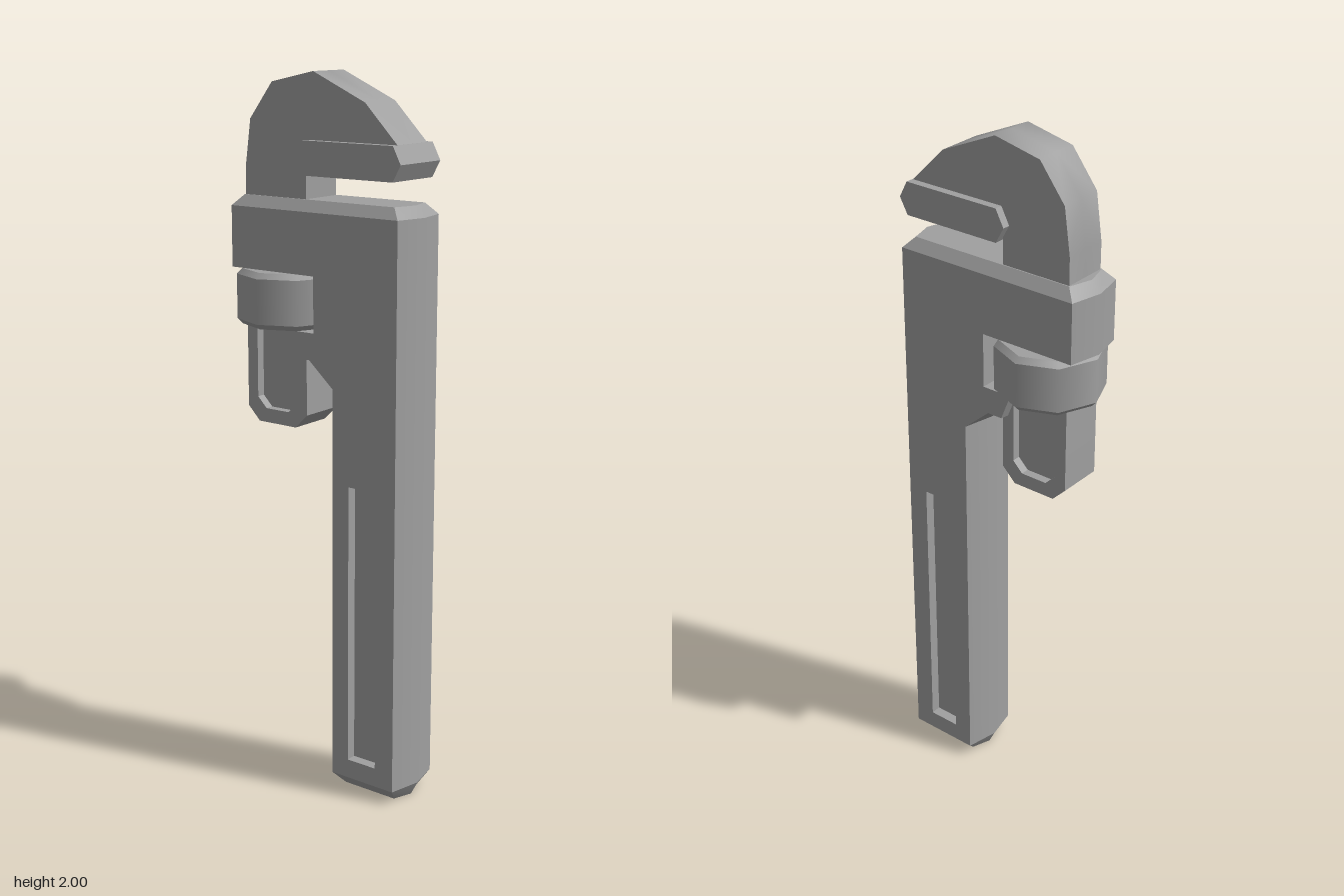
import * as THREE from 'three';
import { toCreasedNormals } from 'three/addons/utils/BufferGeometryUtils.js';

const steel = new THREE.MeshStandardMaterial({ color: 0xa0a0a0 });
steel.name = 'grey steel';

function mesh(name, geometry) {
  const m = new THREE.Mesh(geometry, steel);
  m.name = name;
  return m;
}

function fromTriangles(pos) {
  const g = new THREE.BufferGeometry();
  g.setAttribute('position', new THREE.Float32BufferAttribute(pos, 3));
  return toCreasedNormals(g, 0.76);
}

// Mirrored plate. Outlines are [z, y], counter-clockwise seen from +x;
// mid is the outline at x = 0, side the one at x = w. hole is a blind pocket.
function plate(name, side, mid, w, hole = [], depth = 0) {
  const pos = [];
  const tri = (a, b, c) => {
    pos.push(...a, ...b, ...c);
    for (const p of [a, c, b]) pos.push(-p[0], p[1], p[2]);
  };
  const at = (p, x) => [x, p[1], p[0]];
  const strip = (A, xa, B, xb) => A.forEach((p, i) => {
    const j = (i + 1) % A.length;
    tri(at(p, xa), at(B[i], xb), at(B[j], xb));
    tri(at(p, xa), at(B[j], xb), at(A[j], xa));
  });
  const face = (outline, cut, x) => {
    const flat = (l) => l.map((p) => new THREE.Vector2(-p[0], p[1]));
    const all = [...outline, ...cut];
    const faces = THREE.ShapeUtils.triangulateShape(flat(outline), cut.length ? [flat(cut)] : []);
    for (const [a, b, c] of faces) tri(at(all[a], x), at(all[b], x), at(all[c], x));
  };
  const cut = [...hole].reverse();
  strip(side, w, mid, 0);
  face(side, cut, w);
  if (hole.length) {
    strip(cut, w, cut, w - depth);
    face(hole, [], w - depth);
  }
  return mesh(name, fromTriangles(pos));
}

// Chamfered end with a pointed front and back, from y0 (full) to y1 (inset)
function chamfer(name, zBack, zFront, y0, y1, dx, dz) {
  const ring = (y, ix, iz) => [
    [0.093 - ix, y, zFront - 0.02 - iz], [0.093 - ix, y, zBack + 0.02 + iz], [0, y, zBack + iz],
    [-0.093 + ix, y, zBack + 0.02 + iz], [-0.093 + ix, y, zFront - 0.02 - iz], [0, y, zFront - iz],
  ];
  const A = ring(y0, 0, 0), B = ring(y1, dx, dz), pos = [];
  const up = y1 > y0;
  const tri = (a, b, c) => pos.push(...a, ...(up ? b : c), ...(up ? c : b));
  for (let i = 0; i < 6; i++) {
    const j = (i + 1) % 6;
    tri(A[i], A[j], B[j]);
    tri(A[i], B[j], B[i]);
    if (i > 0 && i < 5) tri(B[0], B[i], B[j]);
  }
  const g = new THREE.BufferGeometry();
  g.setAttribute('position', new THREE.Float32BufferAttribute(pos, 3));
  return mesh(name, toCreasedNormals(g, 0.5));
}

export function createModel() {
  const model = new THREE.Group();
  model.name = 'pipeWrench';

  // Handle and head with ridged front and back, slot for the nut, side pockets
  const side = [
    [0.28, 0.04], [0.07, 0.04], [0.07, 1.165], [-0.01, 1.235], [-0.055, 1.235], [-0.085, 1.31],
    [0.005, 1.31], [0.005, 1.465], [-0.28, 1.465], [-0.28, 1.635], [0.28, 1.635],
  ];
  const mid = [
    [0.30, 0.04], [0.05, 0.04], [0.05, 1.165], [-0.02, 1.225], [-0.06, 1.225], [-0.095, 1.31],
    [0.005, 1.31], [0.005, 1.465], [-0.30, 1.465], [-0.30, 1.635], [0.30, 1.635],
  ];
  const handlePocket = [[0.22, 0.095], [0.125, 0.095], [0.125, 0.9], [0.22, 0.9]];
  model.add(plate('handle', side, mid, 0.093, handlePocket, 0.03));
  model.add(chamfer('handleEnd', 0.05, 0.30, 0.04, 0, 0.038, 0.02));
  model.add(chamfer('headTop', -0.30, 0.30, 1.635, 1.665, 0.024, 0.028));

  // Hook jaw with its shank
  const jaw = [
    [-0.04, 1.07], [-0.08, 1.03], [-0.21, 1.03], [-0.25, 1.07], [-0.25, 1.74], [-0.232, 1.87],
    [-0.155, 1.97], [-0.015, 2.0], [0.155, 1.925], [0.26, 1.82], [0.255, 1.76], [-0.04, 1.76],
  ];
  const shankPocket = [
    [-0.075, 1.10], [-0.105, 1.07], [-0.185, 1.07], [-0.215, 1.10], [-0.215, 1.4], [-0.075, 1.4],
  ];
  model.add(plate('hookJaw', jaw, jaw, 0.066, shankPocket, 0.025));

  // Gripping plate under the hook
  const grip = [
    [0.26, 1.73], [-0.035, 1.73], [-0.06, 1.775], [-0.035, 1.822], [0.26, 1.822], [0.285, 1.775],
  ];
  model.add(plate('jawGrip', grip, grip, 0.089));

  // Eight-sided adjusting nut with chamfered rims
  const nut = new THREE.Group();
  nut.name = 'adjustingNut';
  nut.position.set(0, 1.3875, -0.147);
  const ring = (name, top, bottom, h, y, open) => {
    const m = mesh(name, new THREE.CylinderGeometry(top, bottom, h, 8, 1, open));
    m.position.y = y;
    nut.add(m);
  };
  ring('nutBand', 0.15, 0.15, 0.125, 0, true);
  ring('nutUpperRim', 0.135, 0.15, 0.015, 0.07, false);
  ring('nutLowerRim', 0.15, 0.135, 0.015, -0.07, false);
  model.add(nut);

  return model;
}
